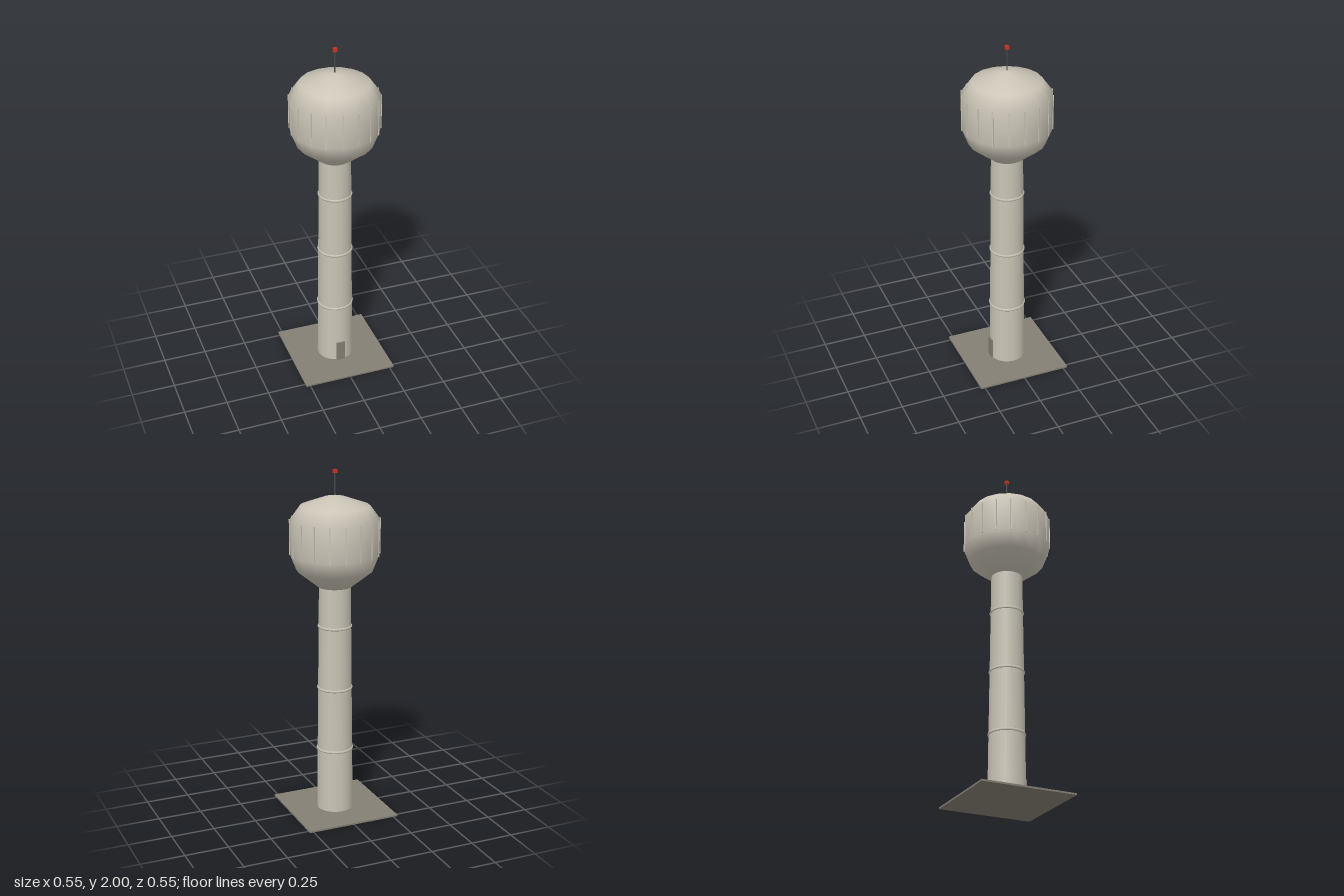
import * as THREE from 'three';

export function createModel() {
  const model = new THREE.Group();
  const mat = (name, color) => {
    const m = new THREE.MeshStandardMaterial({ color });
    m.name = name;
    return m;
  };
  const concrete = mat('pale concrete', 0xc9c3b5);
  const stone = mat('dark stone', 0x857f74);
  const steel = mat('dark steel', 0x4a4a48);
  const red = mat('beacon red', 0xcc3322);

  const add = (name, geometry, material, x = 0, y = 0, z = 0, parent = model) => {
    const mesh = new THREE.Mesh(geometry, material);
    mesh.name = name;
    mesh.position.set(x, y, z);
    parent.add(mesh);
    return mesh;
  };

  // Ground slab, tapered shaft and door
  add('baseSlab', new THREE.BoxGeometry(0.55, 0.01, 0.55), stone, 0, 0.005, 0);
  const bottomR = 0.105, topR = 0.09, shaftTop = 1.36;
  add('shaft', new THREE.CylinderGeometry(topR, bottomR, shaftTop - 0.01, 24), concrete, 0, (shaftTop + 0.01) / 2, 0);
  add('door', new THREE.BoxGeometry(0.05, 0.125, 0.012), stone, 0, 0.0725, 0.104);

  // Thin rings around the shaft
  for (const y of [0.38, 0.75, 1.115]) {
    const r = THREE.MathUtils.lerp(bottomR, topR, y / shaftTop);
    add('shaftRing', new THREE.TorusGeometry(r - 0.002, 0.008, 6, 24), concrete, 0, y, 0).rotation.x = Math.PI / 2;
  }

  // Eighteen-sided water tank
  const sides = 18;
  const profile = [
    [0, 1.345], [0.095, 1.345], [0.215, 1.44], [0.25, 1.53],
    [0.25, 1.725], [0.195, 1.8], [0.06, 1.848], [0, 1.86],
  ].map(([r, y]) => new THREE.Vector2(r, y));
  add('tank', new THREE.LatheGeometry(profile, sides, Math.PI / 2), concrete);

  // Upright ribs on the corners of the tank
  const ribs = new THREE.Group();
  ribs.name = 'tankRibs';
  model.add(ribs);
  const ribGeometry = new THREE.BoxGeometry(0.007, 0.2, 0.007);
  for (let i = 0; i < sides; i++) {
    const a = (i / sides) * Math.PI * 2;
    add('rib', ribGeometry, concrete, Math.cos(a) * 0.25, 1.628, Math.sin(a) * 0.25, ribs).rotation.y = -a;
  }

  // Mast with warning beacon
  add('mast', new THREE.CylinderGeometry(0.004, 0.004, 0.14, 8), steel, 0, 1.915, 0);
  add('beacon', new THREE.BoxGeometry(0.021, 0.02, 0.021), red, 0, 1.99, 0);

  return model;
}
